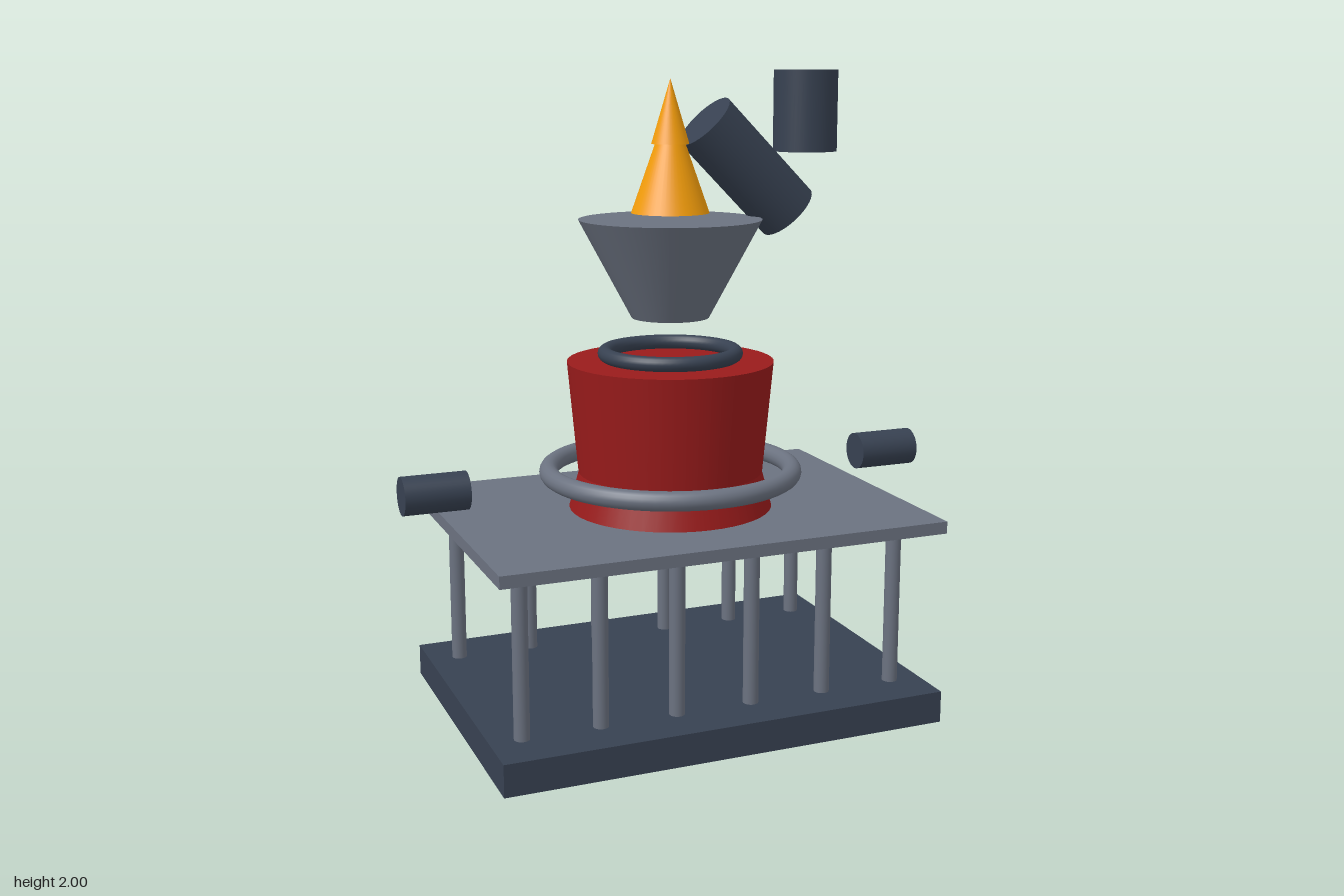
import * as THREE from 'three';

const material = (color) => new THREE.MeshStandardMaterial({ color });

export function createModel() {
  const model = new THREE.Group();
  const dark = material(0x374151);
  const grey = material(0x6b7280);
  const red = material(0x991b1b);
  const gold = material(0xf59e0b);

  function add(name, geometry, mat, x, y, z = 0) {
    const mesh = new THREE.Mesh(geometry, mat);
    mesh.name = name;
    mesh.position.set(x, y, z);
    model.add(mesh);
    return mesh;
  }

  // Upright cylinder or cone between two heights
  function drum(name, rTop, rBottom, y0, y1, mat, x = 0, z = 0, sides = 48) {
    return add(name, new THREE.CylinderGeometry(rTop, rBottom, y1 - y0, sides), mat, x, (y0 + y1) / 2, z);
  }

  // Horizontal ring
  function ring(name, radius, tube, y, mat) {
    add(name, new THREE.TorusGeometry(radius, tube, 16, 64), mat, 0, y).rotation.x = Math.PI / 2;
  }

  // Base slab, deck and the two rows of columns between them
  add('base', new THREE.BoxGeometry(1.414, 0.1, 1.01), dark, 0, 0.05);
  add('deck', new THREE.BoxGeometry(1.414, 0.038, 1.01), grey, 0, 0.632);
  for (const z of [-0.355, 0.355]) {
    for (let i = 0; i < 6; i++) {
      drum('column', 0.024, 0.024, 0.1, 0.614, grey, -0.608 + i * 0.2432, z, 16);
    }
  }

  // Waisted vessel: flared skirt and tapering body
  drum('vesselSkirt', 0.288, 0.328, 0.62, 0.765, red);
  drum('vesselBody', 0.322, 0.29, 0.765, 1.115, red);
  ring('waistRing', 0.383, 0.03, 0.765, grey);
  ring('mouthRing', 0.203, 0.023, 1.138, dark);

  // Hopper with the stacked cones above it
  drum('hopper', 0.282, 0.12, 1.25, 1.553, grey);
  drum('lowerCone', 0.045, 0.12, 1.572, 1.785, gold);
  drum('upperCone', 0, 0.058, 1.78, 1.975, gold);

  // Outlet pipe in two pieces, one slanted and one upright
  drum('slantedPipe', 0.1, 0.1, 1.504, 1.904, dark, 0.254).rotation.z = Math.PI / 4;
  drum('uprightPipe', 0.1, 0.1, 1.75, 2, dark, 0.455);

  // Side nozzles
  for (const side of [-1, 1]) {
    drum('sideNozzle', 0.059, 0.059, 0.663, 0.863, dark, side * 0.76, 0, 32).rotation.z = Math.PI / 2;
  }

  return model;
}
